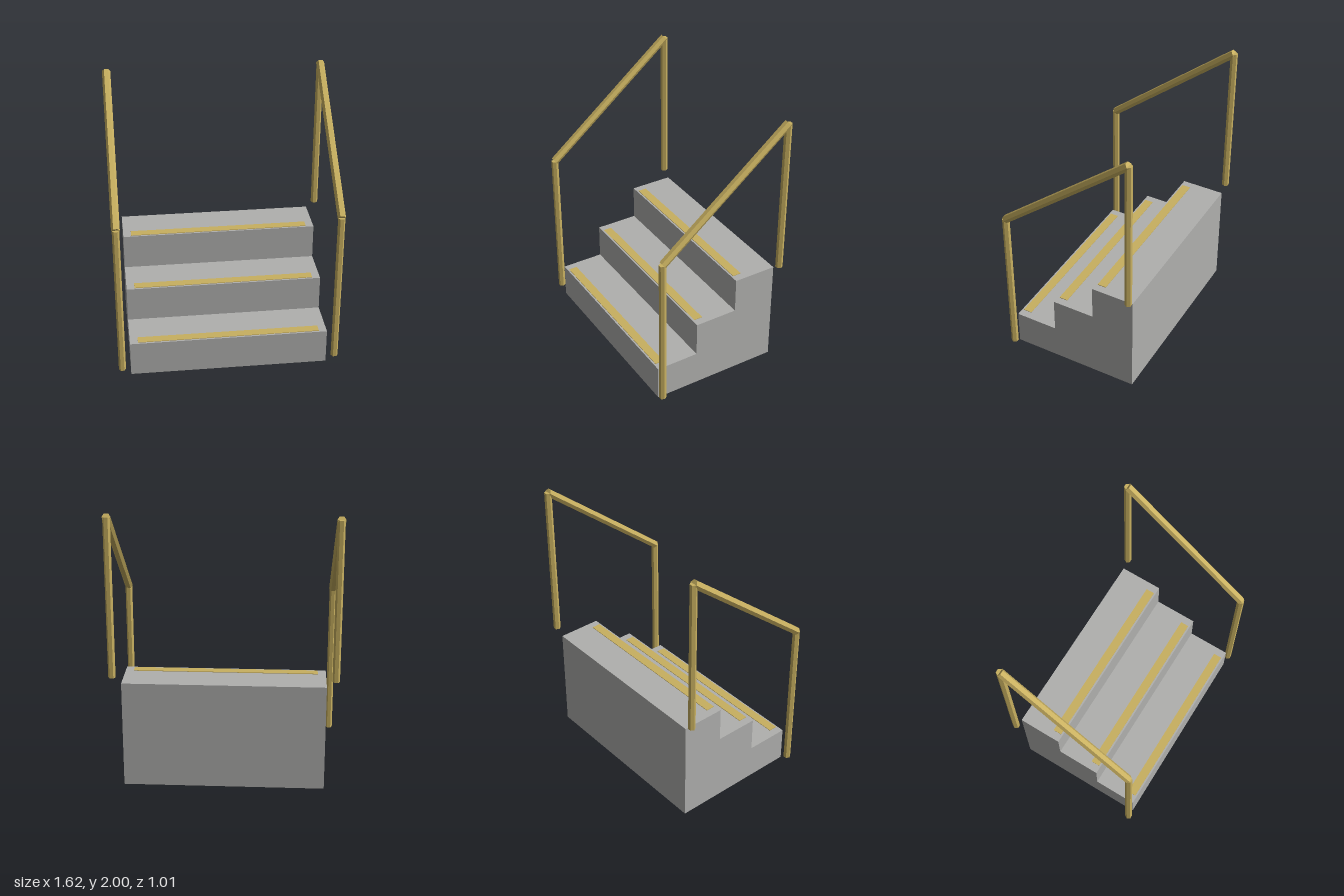
import * as THREE from 'three';

export function createModel() {
  const group = new THREE.Group();
  const concrete = new THREE.MeshStandardMaterial({ color: 0xb0b0ae, flatShading: true });
  concrete.name = 'concrete grey';
  const brass = new THREE.MeshStandardMaterial({ color: 0xc8b060, flatShading: true });
  brass.name = 'brass yellow';

  const add = (name, geometry, material, parent = group) => {
    const mesh = new THREE.Mesh(geometry, material);
    mesh.name = name;
    parent.add(mesh);
    return mesh;
  };

  const count = 3, width = 1.436, depth = 0.96, rise = 0.2615, run = depth / count;

  // Solid stair block: stepped side profile extruded across the width
  const profile = new THREE.Shape();
  profile.moveTo(-depth / 2, 0);
  profile.lineTo(depth / 2, 0);
  profile.lineTo(depth / 2, rise * count);
  for (let i = count - 1; i >= 0; i--) {
    profile.lineTo(-depth / 2 + run * i, rise * (i + 1));
    if (i > 0) profile.lineTo(-depth / 2 + run * i, rise * i);
  }
  profile.closePath();
  const block = new THREE.ExtrudeGeometry(profile, { depth: width, bevelEnabled: false });
  block.translate(0, 0, -width / 2).rotateY(Math.PI / 2);
  add('stairBlock', block, concrete);

  // Thin grip strip near the edge of each tread
  for (let i = 0; i < count; i++) {
    const strip = add('gripStrip', new THREE.BoxGeometry(1.32, 0.006, 0.064), brass);
    strip.position.set(0, rise * (i + 1) + 0.001, depth / 2 - run * i - 0.045);
  }

  // Hexagonal bar with corners facing sideways
  const bar = (radius, length) =>
    new THREE.CylinderGeometry(radius, radius, length, 6, 1, false, Math.PI / 2);

  // A handrail on each side: two posts and a sloping rail
  const low = 1.2, high = 1.98, postLength = 1.15, postZ = 0.48;
  for (const side of [-1, 1]) {
    const handrail = new THREE.Group();
    handrail.name = side > 0 ? 'leftHandrail' : 'rightHandrail';
    handrail.position.x = side * 0.78;
    group.add(handrail);

    add('frontPost', bar(0.026, postLength), brass, handrail)
      .position.set(0, low - postLength / 2, postZ);
    add('backPost', bar(0.026, postLength), brass, handrail)
      .position.set(0, high - postLength / 2, -postZ);

    const rail = add('rail', bar(0.03, Math.hypot(2 * postZ, high - low)), brass, handrail);
    rail.position.y = (low + high) / 2;
    rail.rotation.x = -Math.atan2(2 * postZ, high - low);
  }
  return group;
}
